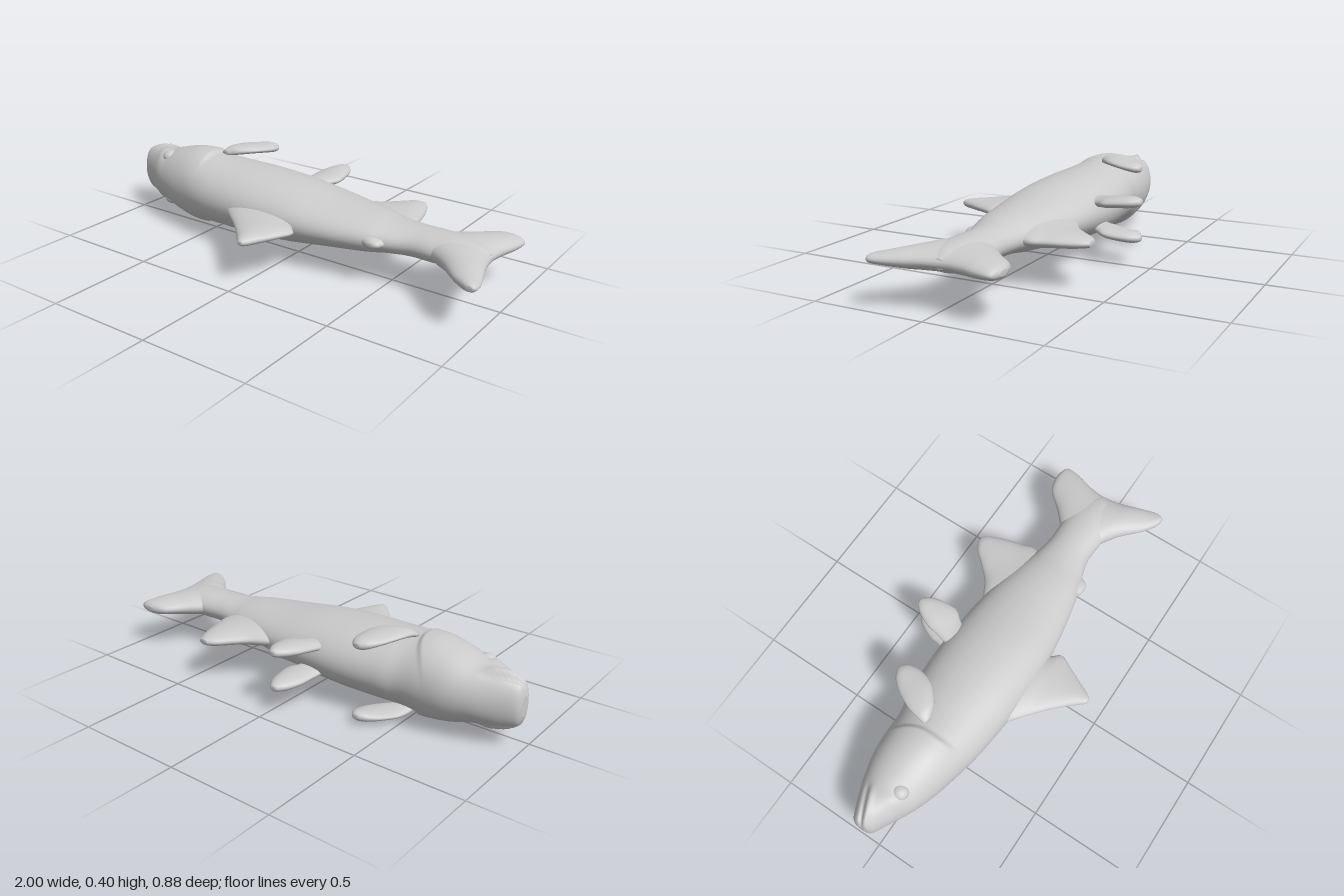
import * as THREE from 'three';

const MID = 0.205; // height of the plane of symmetry: the fish lies on its side

const spline = (a, b, c, d, t) =>
  0.5 * (2 * b + (c - a) * t + (2 * a - 5 * b + 4 * c - d) * t * t + (3 * b - a - 3 * c + d) * t * t * t);

// Skin over elliptical sections. Row: [ax, az, bx, bz, half thickness, offset in y]
function loft(name, rows, steps, sides, rule) {
  const rings = [];
  for (let i = 0; i < rows.length - 1; i++) {
    const row = (k) => rows[Math.min(Math.max(k, 0), rows.length - 1)];
    for (let s = 0; s < steps; s++) {
      rings.push(row(i).map((_, k) => spline(row(i - 1)[k], row(i)[k], row(i + 1)[k], row(i + 2)[k], s / steps)));
    }
  }
  rings.push(rows[rows.length - 1]);
  const close = ([ax, az, bx, bz, , y = 0]) => [(ax + bx) / 2, (az + bz) / 2, (ax + bx) / 2, (az + bz) / 2, 0, y];
  rings.unshift(close(rings[0]));
  rings.push(close(rings[rings.length - 1]));

  const pos = [], index = [];
  rings.forEach(([ax, az, bx, bz, h, y = 0], i) => {
    for (let j = 0; j < sides; j++) {
      const a = (j / sides) * Math.PI * 2, c = Math.cos(a) / 2;
      const p = new THREE.Vector3((ax + bx) / 2 + c * (bx - ax), y + Math.sin(a) * h, (az + bz) / 2 + c * (bz - az));
      if (rule) rule(p, Math.sin(a));
      pos.push(p.x, p.y + MID, p.z);
      if (i < rings.length - 1) {
        const k = (j + 1) % sides, m = i * sides, n = m + sides;
        index.push(m + j, n + j, m + k, m + k, n + j, n + k);
      }
    }
  });
  const geo = new THREE.BufferGeometry();
  geo.setAttribute('position', new THREE.Float32BufferAttribute(pos, 3));
  geo.setIndex(index);
  geo.computeVertexNormals();
  return makeMesh(name, geo);
}

function makeMesh(name, geo) {
  const mesh = new THREE.Mesh(geo, new THREE.MeshStandardMaterial({ color: 0xcccccc }));
  mesh.name = name;
  return mesh;
}

// Gill cover step, mouth groove with lip, and brow
function headRelief(p, side) {
  if (p.x > -0.4) return;
  const { smoothstep } = THREE.MathUtils;
  const gill = p.x - (-0.52 - 3 * Math.max(0, -0.04 - p.z) ** 2);
  let d = 0.014 * Math.exp(Math.min(0, gill) / 0.07) * (1 - smoothstep(gill, -0.012, 0.008)) * (1 - smoothstep(p.z, 0, 0.13));
  const mouth = p.z - (-0.055 - (p.x + 1) * 0.45);
  const fade = 1 - smoothstep(p.x, -0.87, -0.81);
  d += fade * (0.012 * Math.exp(-(((mouth - 0.022) / 0.016) ** 2)) - 0.016 * Math.exp(-((mouth / 0.01) ** 2)));
  d += 0.014 * Math.exp(-(((p.x + 0.84) / 0.035) ** 2) - ((p.z - 0.02) / 0.05) ** 2);
  p.y += d * side;
}

export function createModel() {
  const fish = new THREE.Group();
  fish.name = 'fish';

  // Body: x, belly z, back z, half width
  const body = [
    [-0.997, -0.09, -0.04, 0.05], [-0.98, -0.115, -0.015, 0.09], [-0.93, -0.14, 0.012, 0.115],
    [-0.87, -0.165, 0.045, 0.128], [-0.8, -0.19, 0.08, 0.135], [-0.7, -0.215, 0.115, 0.162],
    [-0.6, -0.222, 0.14, 0.176], [-0.5, -0.225, 0.162, 0.164], [-0.4, -0.243, 0.177, 0.157],
    [-0.2, -0.26, 0.194, 0.15], [0, -0.252, 0.192, 0.135], [0.2, -0.23, 0.172, 0.107],
    [0.4, -0.185, 0.132, 0.085], [0.5, -0.155, 0.1, 0.07], [0.6, -0.138, 0.072, 0.065],
    [0.7, -0.14, 0.075, 0.064], [0.8, -0.14, 0.08, 0.06], [0.88, -0.11, 0.05, 0.045], [0.925, -0.06, 0, 0.02],
  ];
  fish.add(loft('body', body.map(([x, lo, hi, w]) => [x, lo, x, hi, w]), 12, 64, headRelief));

  // Tail fin, swept from the lower lobe to the upper lobe
  const tail = [
    [-0.293, 0.93, 0.88, 0.012], [-0.27, 0.972, 0.82, 0.028], [-0.2, 0.965, 0.755, 0.04],
    [-0.12, 0.942, 0.67, 0.05], [-0.04, 0.932, 0.6, 0.057], [0.05, 0.947, 0.68, 0.052],
    [0.12, 0.97, 0.785, 0.042], [0.2, 0.995, 0.87, 0.027], [0.24, 0.997, 0.925, 0.02], [0.254, 0.985, 0.955, 0.01],
  ];
  fish.add(loft('tailFin', tail.map(([z, back, front, h]) => [back, z, front, z, h]), 6, 32));

  // Single fins along the back and belly
  fish.add(loft('dorsalFin', [
    [0.08, 0.1, -0.34, 0.1, 0.05], [0.1, 0.18, -0.27, 0.185, 0.042], [0.132, 0.225, -0.19, 0.25, 0.035],
    [0.105, 0.29, -0.12, 0.31, 0.03], [0.065, 0.37, -0.05, 0.38, 0.025],
    [0.04, 0.42, -0.015, 0.42, 0.018], [0.025, 0.437, 0, 0.437, 0.009],
  ], 6, 32));
  fish.add(loft('analFin', [
    [0.08, -0.14, 0.5, -0.1, 0.06], [0.16, -0.225, 0.515, -0.175, 0.045], [0.25, -0.28, 0.5, -0.23, 0.037],
    [0.31, -0.34, 0.48, -0.31, 0.03], [0.355, -0.39, 0.455, -0.375, 0.022], [0.39, -0.412, 0.435, -0.407, 0.012],
  ], 6, 32));
  fish.add(loft('adiposeFin', [
    [0.52, 0.06, 0.36, 0.08, 0.035], [0.508, 0.1, 0.39, 0.115, 0.026],
    [0.495, 0.127, 0.42, 0.128, 0.018], [0.475, 0.137, 0.445, 0.137, 0.008],
  ], 5, 24));

  // Paired fins and eyes on both flanks
  for (const [side, s] of [['left', 1], ['right', -1]]) {
    const paired = (rows) => rows.map(([ax, az, bx, bz, h, y]) => [ax, az, bx, bz, h, y * s]);
    fish.add(loft(side + 'PectoralFin', paired([
      [-0.505, -0.07, -0.47, -0.062, 0.012, 0.165], [-0.5, -0.11, -0.41, -0.085, 0.02, 0.177],
      [-0.485, -0.17, -0.345, -0.145, 0.021, 0.18], [-0.45, -0.24, -0.32, -0.215, 0.022, 0.172],
      [-0.415, -0.285, -0.322, -0.27, 0.023, 0.165], [-0.39, -0.303, -0.338, -0.3, 0.016, 0.162],
      [-0.375, -0.309, -0.35, -0.308, 0.008, 0.162],
    ]), 6, 28));
    fish.add(loft(side + 'PelvicFin', paired([
      [-0.13, -0.2, -0.02, -0.2, 0.03, 0.05], [-0.125, -0.245, 0.0, -0.24, 0.024, 0.06],
      [-0.115, -0.3, 0.03, -0.28, 0.025, 0.067], [-0.105, -0.35, 0.032, -0.33, 0.026, 0.073],
      [-0.08, -0.405, 0.018, -0.395, 0.025, 0.078], [-0.055, -0.435, -0.005, -0.432, 0.017, 0.08],
      [-0.042, -0.443, -0.018, -0.443, 0.008, 0.08],
    ]), 6, 28));
    const eye = makeMesh(side + 'Eye', new THREE.SphereGeometry(0.04, 28, 18));
    eye.scale.y = 0.8;
    eye.position.set(-0.785, MID + s * 0.107, 0);
    fish.add(eye);
  }
  return fish;
}
